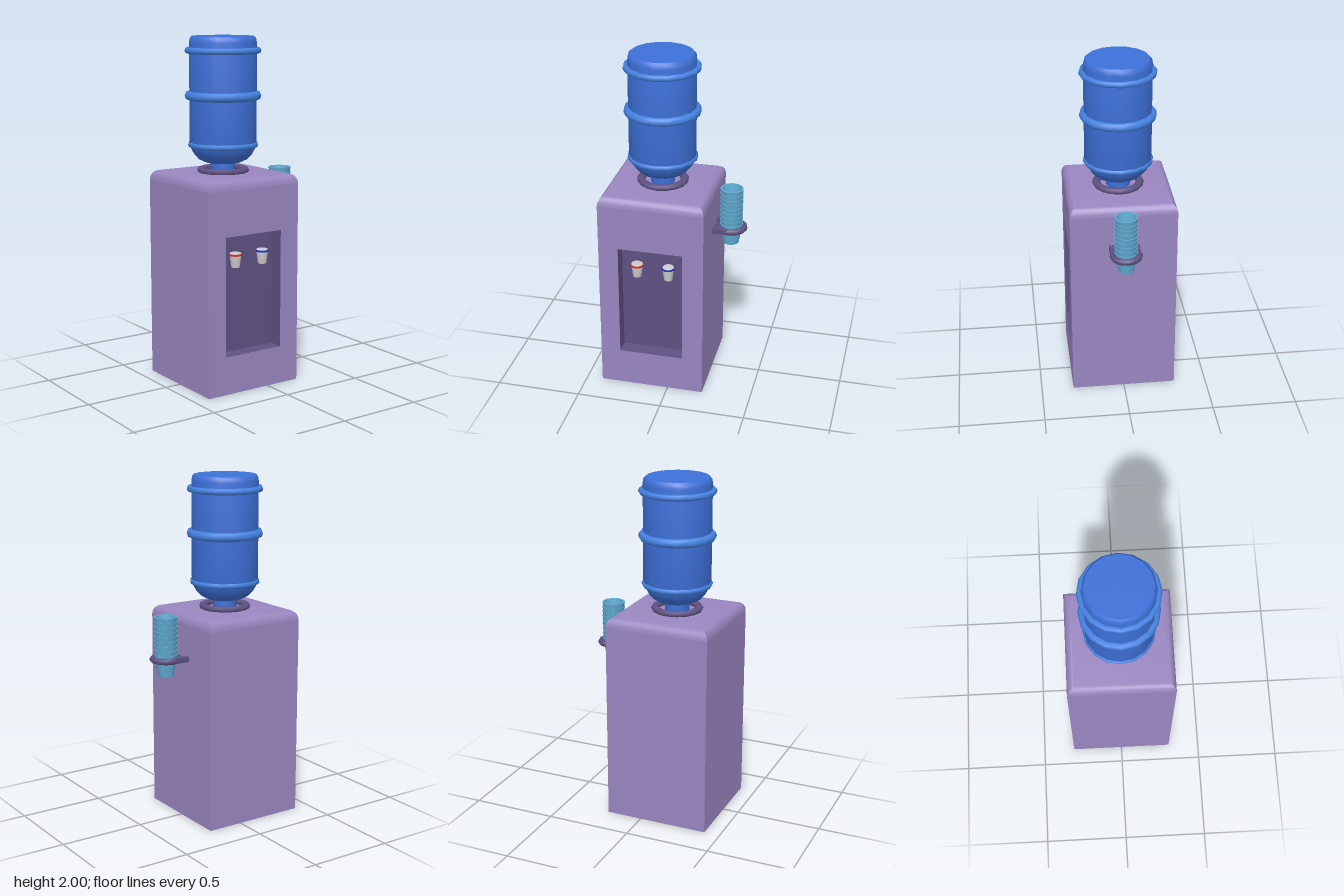
import * as THREE from 'three';
import { toCreasedNormals } from 'three/addons/utils/BufferGeometryUtils.js';

const mat = (color, side = THREE.FrontSide) => new THREE.MeshStandardMaterial({ color, side });
const purple = mat(0x9986c0);
const darkPurple = mat(0x5e5182);
const bottleBlue = mat(0x3d70d8);
const ringBlue = mat(0x4482e2);
const cupBlue = mat(0x62aed6, THREE.DoubleSide);
const grey = mat(0xcccccc);
const red = mat(0xdd3322);
const blue = mat(0x2233cc);

const CX = -0.0975;   // centre of the cabinet and bottle
const HALF = 0.3085;  // half width of the cabinet
const SHOULDER = 1.17, TOP = 1.225;

export function createModel() {
  const model = new THREE.Group();

  const add = (parent, name, geometry, material, x = 0, y = 0, z = 0) => {
    const mesh = new THREE.Mesh(geometry, material);
    mesh.name = name;
    mesh.position.set(x, y, z);
    parent.add(mesh);
    return mesh;
  };
  const lathe = (points, sides, crease = 0.7) => toCreasedNormals(
    new THREE.LatheGeometry(points.map(([r, y]) => new THREE.Vector2(r, y)), sides), crease);
  // Horizontal ring; flat is its height relative to its width
  const ring = (radius, tube, sides, flat = 1) =>
    new THREE.TorusGeometry(radius, tube, 8, sides).rotateX(Math.PI / 2).scale(1, flat, 1);

  // Cabinet: rear box, front panel with an opening, rounded top
  const cabinet = new THREE.Group();
  cabinet.name = 'cabinet';
  model.add(cabinet);
  const depth = 0.09, rearDepth = HALF * 2 - depth;
  add(cabinet, 'cabinetRear', new THREE.BoxGeometry(HALF * 2, SHOULDER, rearDepth), purple,
    CX, SHOULDER / 2, -depth / 2);

  const [x0, x1, y0, y1] = [-0.29, 0.09, 0.22, 0.91];
  const panel = new THREE.Shape([[CX - HALF, 0], [CX + HALF, 0], [CX + HALF, SHOULDER], [CX - HALF, SHOULDER]]
    .map(([x, y]) => new THREE.Vector2(x, y)));
  panel.holes.push(new THREE.Path([[x0, y0], [x0, y1], [x1, y1], [x1, y0]]
    .map(([x, y]) => new THREE.Vector2(x, y))));
  add(cabinet, 'frontPanel', new THREE.ExtrudeGeometry(panel, { depth, bevelEnabled: false }), purple,
    0, 0, HALF - depth);

  const arc = [];
  for (let i = 0; i <= 5; i++) {
    const a = (i / 5) * Math.PI / 2;
    arc.push([(HALF - 0.045 * (1 - Math.cos(a))) * Math.SQRT2, SHOULDER + (TOP - SHOULDER) * Math.sin(a)]);
  }
  const lid = lathe([...arc, [0, TOP]], 4).rotateY(Math.PI / 4);
  add(cabinet, 'cabinetTop', lid, purple, CX);

  // Recess lining: a box turned inside out with its front left open
  const lining = new THREE.BoxGeometry(x1 - x0 - 0.002, y1 - y0 - 0.002, depth - 0.002).scale(1, 1, -1);
  lining.setIndex(Array.from(lining.index.array).slice(0, 30));
  lining.computeVertexNormals();
  add(cabinet, 'recess', lining, darkPurple, (x0 + x1) / 2, (y0 + y1) / 2, HALF - depth / 2 + 0.001);

  // Hot and cold taps
  for (const [name, x, color] of [['hotTap', -0.19, red], ['coldTap', -0.005, blue]]) {
    const tap = new THREE.Group();
    tap.name = name;
    tap.position.set(x, 0.72, 0.257);
    model.add(tap);
    add(tap, 'tapBody', lathe([[0, 0], [0.024, 0], [0.034, 0.072], [0.034, 0.08], [0.03, 0.084], [0, 0.084]], 16), grey);
    add(tap, 'tapBand', new THREE.CylinderGeometry(0.038, 0.037, 0.011, 16), color, 0, 0.074);
  }

  // Bottle with neck, shoulder and raised hoops
  const bottle = new THREE.Group();
  bottle.name = 'bottle';
  bottle.position.x = CX;
  model.add(bottle);
  add(bottle, 'bottleBody', lathe([
    [0.07, 1.22], [0.07, 1.28], [0.105, 1.283], [0.14, 1.3], [0.168, 1.33], [0.187, 1.365],
    [0.195, 1.4], [0.195, 1.965], [0.191, 1.988], [0.18, 2], [0, 2]], 16, 0.8), bottleBlue);
  for (const [y, radius, tube] of [[1.385, 0.186, 0.018], [1.665, 0.196, 0.026], [1.92, 0.203, 0.018]])
    add(bottle, 'bottleHoop', ring(radius, tube, 16), ringBlue, 0, y);
  add(model, 'bottleCollar', ring(0.127, 0.024, 16, 0.75), darkPurple, CX, 1.237);

  // Cup holder on the side
  const holder = new THREE.Group();
  holder.name = 'cupHolder';
  holder.position.set(0.31, 0.973, 0);
  model.add(holder);
  add(holder, 'holderRing', ring(0.077, 0.018, 12), darkPurple);
  for (const s of [-1, 1])
    add(holder, 'holderArm', new THREE.BoxGeometry(0.1, 0.03, 0.032), darkPurple, -0.06, 0, s * 0.071);

  // Stack of nested cups
  const cup = lathe([[0, 0], [0.045, 0], [0.067, 0.125], [0.057, 0.125], [0.041, 0.006], [0, 0.006]], 16);
  for (let i = 0; i < 9; i++)
    add(holder, 'cup', cup, cupBlue, 0, -0.098 + i * 0.0275);

  return model;
}
